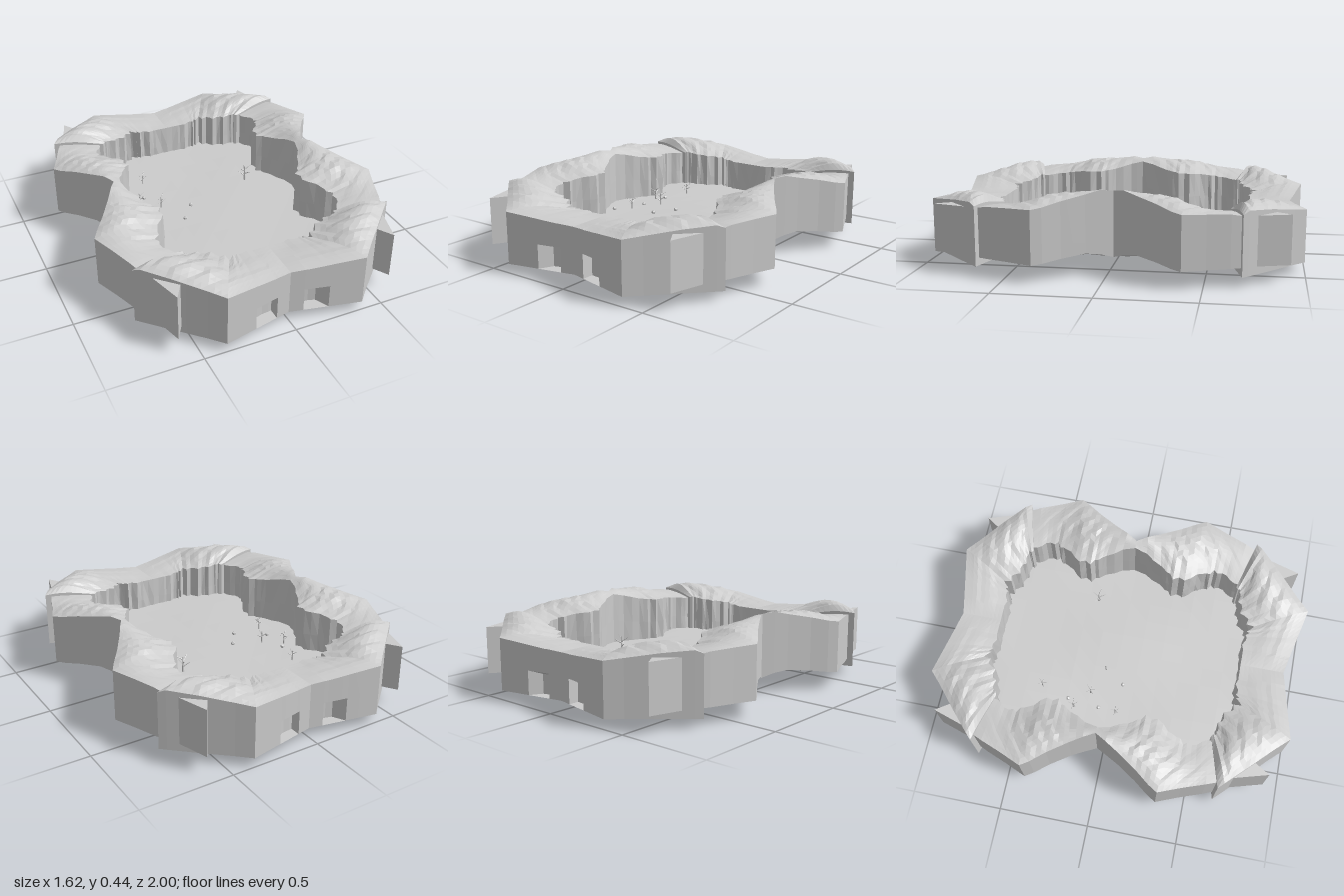
import * as THREE from 'three';

const rock = new THREE.MeshStandardMaterial({ color: 0xcccccc, flatShading: true });
const thin = new THREE.MeshStandardMaterial({ color: 0xcccccc, flatShading: true, side: THREE.DoubleSide });

// Repeatable noise in -1..1 from a position
const noise = (a, b) => {
  const s = Math.sin(a * 127.1 + b * 311.7) * 437.5;
  return 2 * (s - Math.floor(s)) - 1;
};
const lerp = THREE.MathUtils.lerp;
// The two halves meet slightly behind the middle
const placeZ = (z, side) => side * z - 0.03 * (1 - z * z);
// Sloping rock layers: rise slowly, then break off
const strata = (u) => 0.5 - Math.abs(((u * 11) % 1) - 0.25) / 0.75;

// Stations: inner x, z, top | outer x, z, top | ridge bulge, lowest underside, outer bottom, alcove depth
const END = [
  [0, .675, .30, 0, .92, .30, 0, .05, .05, 0],
  [.075, .685, .30, .075, .936, .305, .006, .008, .05, 0],
  [.075, .685, .30, .075, .936, .305, .006, .008, .05, .25],
  [.09, .69, .30, .095, .94, .305, .008, 0, .05, .25],
  [.09, .69, .30, .095, .94, .305, .008, .05, .05, .25],
  [.15, .70, .305, .175, .957, .312, .01, .05, .05, .25],
  [.17, .70, .305, .205, .963, .315, .01, .05, .05, 0],
  [.23, .715, .31, .38, 1, .33, .02, .05, .05, 0],
  [.28, .655, .32, .45, .93, .342, .04, .05, .05, 0],
  [.39, .62, .33, .58, .81, .365, .05, .05, .05, 0],
  [.445, .61, .34, .695, .70, .378, .035, .05, .05, 0],
  [.46, .60, .335, .725, .67, .362, .012, .05, .05, 0],
];
const SIDE = [
  [.45, .63, .33, .68, .69, .345, .003, .09, .09, 0],
  [.47, .58, .33, .715, .61, .36, .005, .09, .09, 0],
  [.52, .48, .34, .76, .49, .365, .015, .09, .09, 0],
  [.48, .40, .355, .81, .37, .37, .03, .09, .09, 0],
  [.42, .34, .365, .78, .32, .378, .04, .09, .095, 0],
  [.415, .24, .37, .72, .24, .40, .035, .09, .108, 0],
  [.47, .16, .38, .65, .13, .425, .02, .09, .122, 0],
  [.52, .07, .405, .61, .06, .443, .008, .09, .11, 0],
  [.535, 0, .42, .575, 0, .435, 0, .09, .09, 0],
];

// Closed loop of points around the rock at one station
function section(s, slant) {
  let [ix, iz, ih, ox, oz, oh, bulge, low, ob, alcove] = s;
  const jag = 0.06 * noise(ix, iz);
  ix += (ox - ix) * jag;
  iz += (oz - iz) * jag;
  const at = (t, y) => [lerp(ix, ox, t), y, lerp(iz, oz, t)];
  const base = Math.max(low, .05);
  const pts = [at(0, base), at(0.02 * noise(iz, ix), lerp(base, ih, 0.5)), at(0, ih)];
  for (let k = 1; k < 10; k++) {
    const t = k / 10;
    const [x, , z] = at(t, 0);
    const layer = 1 + 0.3 * strata(z + slant * x + 1);
    pts.push(at(t, lerp(ih, oh, t) + bulge * layer * Math.sin(Math.PI * t ** 1.3)));
  }
  pts.push(at(1, oh), at(1, .18), at(1 - alcove, alcove ? .155 : .18), at(1 - alcove, ob), at(1, ob));
  pts.push(at(.35, base), at(.2, low));
  return pts;
}

// Skins a run of stations, mirrored to the quarter given by sx, sz
function cliff(name, stations, slant, sx, sz, capEnd) {
  const rows = [];
  stations.forEach((s, i) => {
    const next = stations[i + 1];
    const length = next ? Math.hypot(next[3] - s[3], next[4] - s[4]) : 0;
    const steps = Math.max(1, Math.round(length / 0.035));
    for (let k = 0; k < steps; k++) {
      rows.push(section(s.map((v, j) => (next ? lerp(v, next[j], k / steps) : v)), slant));
    }
  });
  const pos = [];
  const tri = (a, b, c) => {
    const order = sx * sz > 0 ? [a, b, c] : [a, c, b];
    for (const [x, y, z] of order) pos.push(sx * x, y, placeZ(z, sz));
  };
  for (let r = 0; r + 1 < rows.length; r++) {
    const a = rows[r], b = rows[r + 1];
    for (let i = 0; i < a.length; i++) {
      const j = (i + 1) % a.length;
      tri(a[i], a[j], b[j]);
      tri(a[i], b[j], b[i]);
    }
  }
  if (capEnd) {
    const last = rows[rows.length - 1];
    const mid = [0, 1, 2].map((c) => last.reduce((sum, p) => sum + p[c], 0) / last.length);
    last.forEach((p, i) => tri(mid, p, last[(i + 1) % last.length]));
  }
  const geo = new THREE.BufferGeometry();
  geo.setAttribute('position', new THREE.Float32BufferAttribute(pos, 3));
  geo.computeVertexNormals();
  const mesh = new THREE.Mesh(geo, rock);
  mesh.name = name;
  return mesh;
}

// Three-sided buttress standing out of the outer corner
function buttress(sx, sz) {
  const shape = new THREE.Shape(
    [[.597, .918], [.66, .71], [.545, .835]].map(([x, z]) => new THREE.Vector2(sx * x, -placeZ(z, sz))));
  const geo = new THREE.ExtrudeGeometry(shape, { depth: .255, bevelEnabled: false });
  geo.rotateX(-Math.PI / 2);
  const mesh = new THREE.Mesh(geo, rock);
  mesh.position.y = .09;
  mesh.name = 'cornerButtress';
  return mesh;
}

const floorY = (x, z) => .127 + .004 * Math.sin(x * 7 + 1) * Math.cos(z * 6);

// Gently uneven ground, its edge buried in the cliffs
function ground() {
  const geo = new THREE.PlaneGeometry(1.09, 1.46, 10, 12);
  geo.rotateX(-Math.PI / 2);
  geo.translate(0, 0, -.015);
  const p = geo.attributes.position;
  for (let i = 0; i < p.count; i++) p.setY(i, floorY(p.getX(i), p.getZ(i)));
  geo.computeVertexNormals();
  const mesh = new THREE.Mesh(geo, thin);
  mesh.name = 'ground';
  return mesh;
}

// Bare tree: a thin trunk with branches turned around it
function deadTree(x, z, size) {
  const tree = new THREE.Group();
  tree.name = 'deadTree';
  const trunk = new THREE.Mesh(new THREE.CylinderGeometry(.002, .005, .07, 5), rock);
  trunk.position.y = .035;
  trunk.name = 'trunk';
  tree.add(trunk);
  for (let i = 0; i < 5; i++) {
    const geo = new THREE.CylinderGeometry(.001, .003, .035, 4);
    geo.translate(0, .0175, 0);
    const branch = new THREE.Mesh(geo, rock);
    branch.position.y = .025 + .008 * i;
    branch.rotation.set(0, i * 2.4 + x * 9, -1.0, 'YXZ');
    branch.name = 'branch';
    tree.add(branch);
  }
  tree.position.set(x, floorY(x, z), z);
  tree.scale.setScalar(size);
  return tree;
}

function boulder(x, z) {
  const mesh = new THREE.Mesh(new THREE.DodecahedronGeometry(.012), rock);
  mesh.position.set(x, floorY(x, z) + .006, z);
  mesh.rotation.y = x * 20;
  mesh.name = 'boulder';
  return mesh;
}

export function createModel() {
  const model = new THREE.Group();
  model.name = 'canyonArena';
  for (const sx of [1, -1]) {
    for (const sz of [1, -1]) {
      model.add(cliff('endCliff', END, -.25, sx, sz, true));
      model.add(cliff('sideCliff', SIDE, .7, sx, sz, false));
      model.add(buttress(sx, sz));
    }
  }
  model.add(ground());
  for (const [x, z, s] of [[-.28, -.41, .9], [-.37, -.21, 1], [-.27, -.13, 1], [.30, -.20, 1.3], [-.36, .03, .9]]) {
    model.add(deadTree(x, z, s));
  }
  for (const [x, z] of [[-.33, -.25], [-.35, -.07], [-.11, -.07], [-.42, .12], [-.19, .04]]) {
    model.add(boulder(x, z));
  }
  return model;
}
